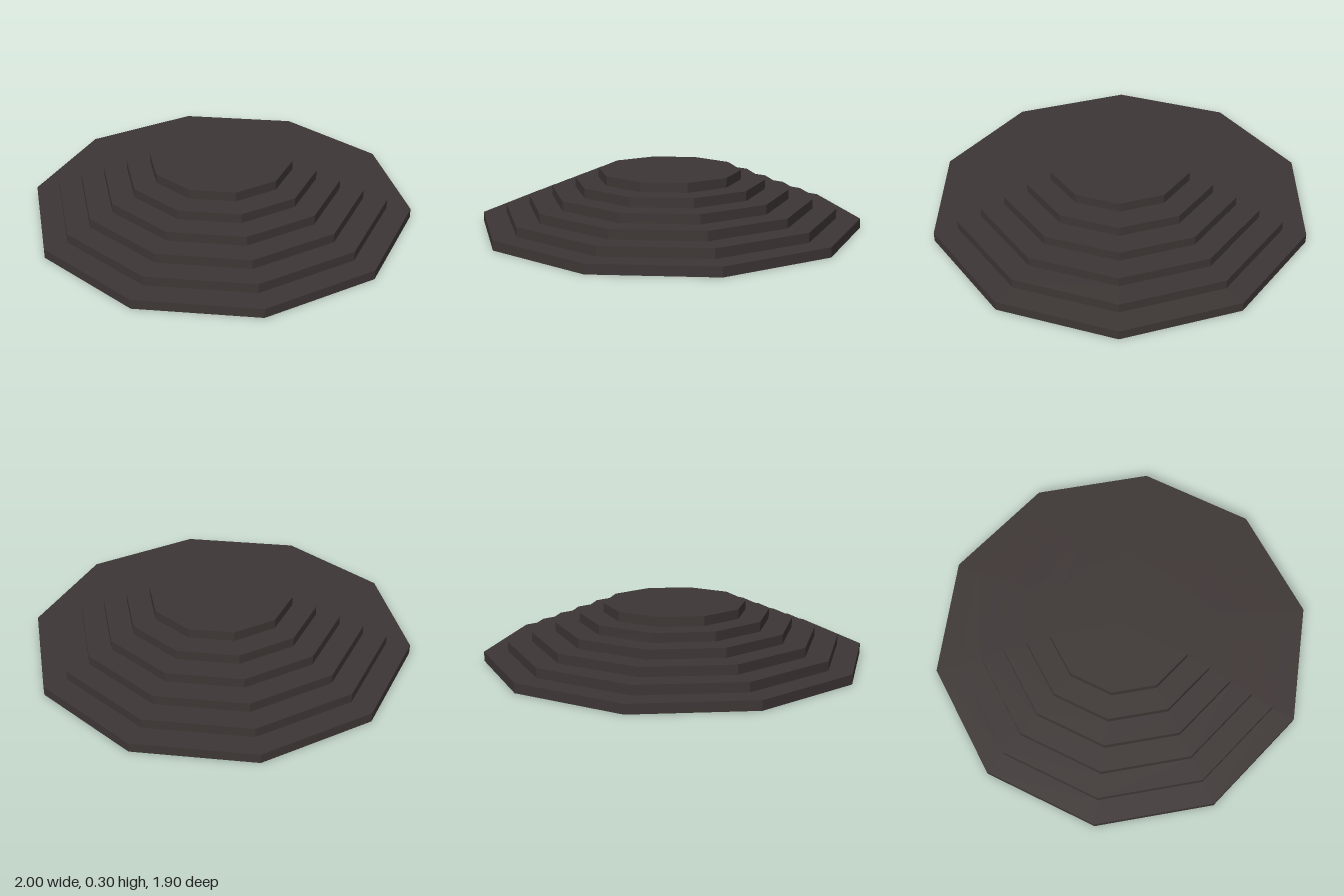
import * as THREE from 'three';

const SIDES = 10;
const STEPS = 6;
const STEP_HEIGHT = 0.05;
const STEP_DEPTH = 0.125;

export function createModel() {
  const model = new THREE.Group();
  model.name = 'steppedDome';

  const darkStone = new THREE.MeshStandardMaterial({
    color: 0x3d3635, flatShading: true, side: THREE.DoubleSide,
  });
  darkStone.name = 'darkStone';

  const add = (name, geometry, y) => {
    const mesh = new THREE.Mesh(geometry, darkStone);
    mesh.name = name;
    mesh.position.y = y;
    model.add(mesh);
  };

  // Hollow ten-sided tiers, open underneath
  for (let i = 0; i < STEPS; i++) {
    const radius = 1 - i * STEP_DEPTH;
    const top = (i + 1) * STEP_HEIGHT;

    // Upright wall of the step, with a corner on the x axis
    const riser = new THREE.CylinderGeometry(
      radius, radius, STEP_HEIGHT, SIDES, 1, true, Math.PI / 2);
    add(`riser${i + 1}`, riser, top - STEP_HEIGHT / 2);

    // Flat ring of the step, or the closing cap on the last one
    const last = i === STEPS - 1;
    const tread = last
      ? new THREE.CircleGeometry(radius, SIDES)
      : new THREE.RingGeometry(radius - STEP_DEPTH, radius, SIDES);
    tread.rotateX(-Math.PI / 2);
    add(last ? 'topCap' : `tread${i + 1}`, tread, top);
  }

  return model;
}
